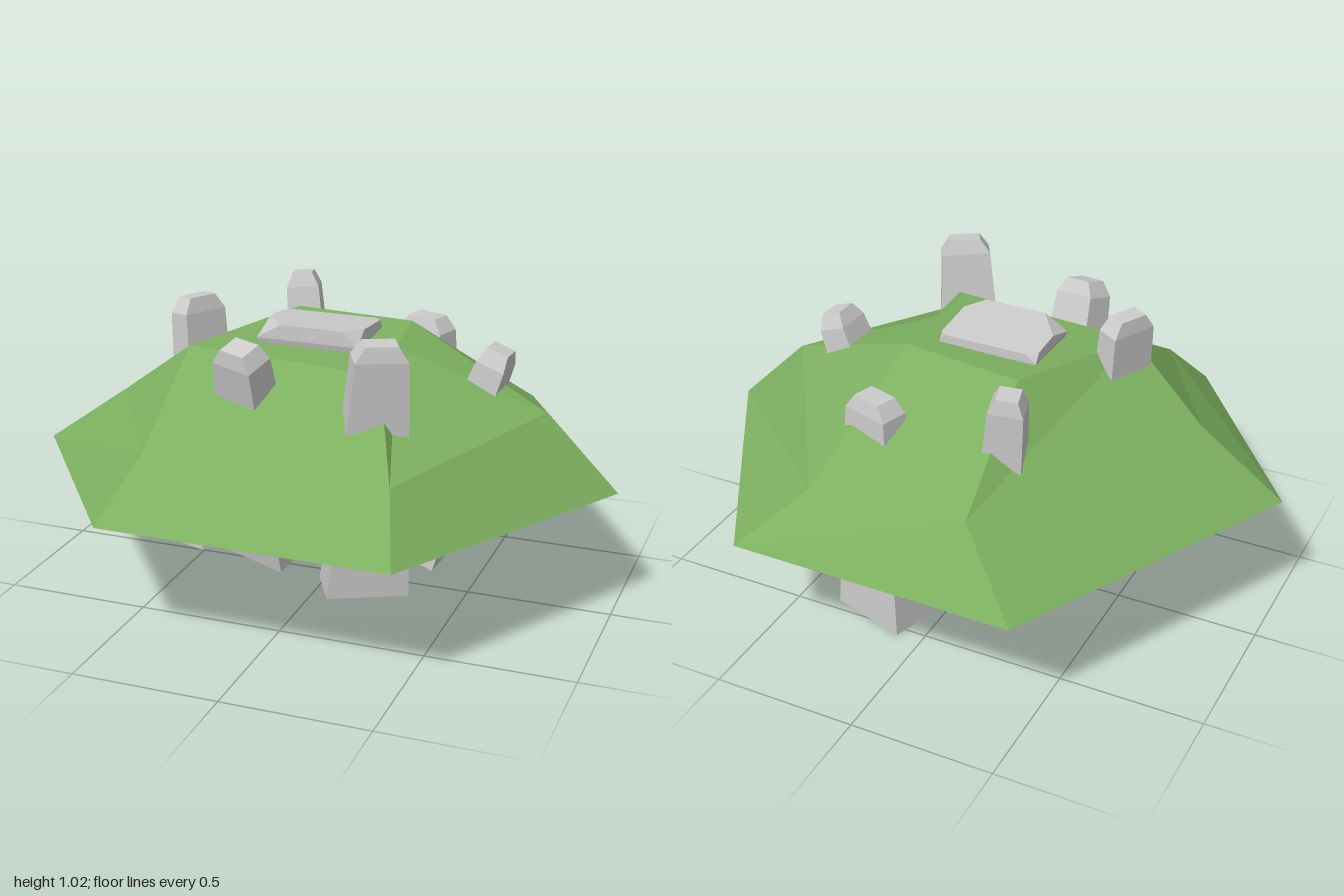
import * as THREE from 'three';
import { ConvexGeometry } from 'three/addons/geometries/ConvexGeometry.js';

const grass = new THREE.MeshStandardMaterial({ color: 0x7cb05f, flatShading: true });
const stone = new THREE.MeshStandardMaterial({ color: 0xcccccc, flatShading: true });

function addMesh(parent, name, geometry, material) {
  const mesh = new THREE.Mesh(geometry, material);
  mesh.name = name;
  parent.add(mesh);
  return mesh;
}

// Closed low-poly mound lofted through six-point rings, listed from bottom to top
function moundGeometry(rings) {
  const n = rings[0].length;
  const last = (rings.length - 1) * n;
  const index = [];
  for (let r = 0; r < rings.length - 1; r++) {
    for (let i = 0; i < n; i++) {
      const a = r * n + i;
      const b = r * n + ((i + 1) % n);
      index.push(a, a + n, b, b, a + n, b + n);
    }
  }
  for (let i = 1; i < n - 1; i++) {
    index.push(0, i, i + 1); // underside
    index.push(last, last + i + 1, last + i); // crown
  }
  const geometry = new THREE.BufferGeometry();
  geometry.setAttribute('position', new THREE.Float32BufferAttribute(rings.flat(2), 3));
  geometry.setIndex(index);
  geometry.computeVertexNormals();
  return geometry;
}

// Tapered four-sided stone with a bevelled tip, standing on its local origin
function pillarGeometry(length, bottom, top) {
  const geometry = new THREE.BoxGeometry(1, 1, 1, 1, 2, 1);
  const pos = geometry.attributes.position;
  const levels = [
    { y: 0, w: bottom[0], d: bottom[1] },
    { y: length - 0.05, w: top[0], d: top[1] },
    { y: length, w: top[0] * 0.62, d: top[1] * 0.75 },
  ];
  for (let i = 0; i < pos.count; i++) {
    const level = levels[Math.round((pos.getY(i) + 0.5) * 2)];
    pos.setXYZ(i, pos.getX(i) * level.w, level.y, pos.getZ(i) * level.d);
  }
  geometry.computeVertexNormals();
  return geometry;
}

// Foot and tip centres, turn in degrees, cross-section at foot and at shoulder
const pillars = [
  { name: 'backRightPillar', foot: [-0.18, 0.13, -0.34], tip: [-0.265, 0.97, -0.41], turn: 15, bottom: [0.18, 0.18], top: [0.115, 0.1] },
  { name: 'backLeftPillar', foot: [0.2, 0, -0.42], tip: [0.205, 0.85, -0.425], turn: -17, bottom: [0.285, 0.165], top: [0.175, 0.1] },
  { name: 'leftPillar', foot: [0.31, 0.13, -0.02], tip: [0.585, 0.885, -0.015], turn: 87, bottom: [0.2, 0.19], top: [0.13, 0.1] },
  { name: 'frontLeftPillar', foot: [0.255, 0.155, 0.39], tip: [0.325, 1.015, 0.45], turn: 30, bottom: [0.27, 0.14], top: [0.17, 0.09] },
  { name: 'frontRightPillar', foot: [-0.15, 0.155, 0.2], tip: [-0.145, 0.95, 0.455], turn: -17, bottom: [0.225, 0.18], top: [0.15, 0.11] },
  { name: 'rightPillar', foot: [-0.365, 0.15, 0.2], tip: [-0.425, 1.015, 0.155], turn: 63, bottom: [0.2, 0.12], top: [0.165, 0.08] },
];

export function createModel() {
  const model = new THREE.Group();
  model.name = 'grassyStoneMound';

  // Grass mound with a flat underside
  const baseY = 0.44;
  addMesh(model, 'grassMound', moundGeometry([
    [[-0.48, baseY, -0.85], [0.5, baseY, -0.85], [1, baseY, 0], [0.5, baseY, 0.85], [-0.48, baseY, 0.85], [-1, baseY, 0.17]],
    [[-0.25, 0.66, -0.68], [0.31, 0.615, -0.68], [0.75, 0.69, 0], [0.43, 0.63, 0.66], [-0.4, 0.63, 0.66], [-0.7, 0.655, 0.17]],
    [[-0.2, 0.9, -0.21], [0.23, 0.905, -0.16], [0.255, 0.885, 0.08], [0.28, 0.865, 0.32], [-0.41, 0.87, 0.26], [-0.41, 0.87, 0.26]],
  ]), grass);

  // Leaning stones that pass right through the mound
  const up = new THREE.Vector3(0, 1, 0);
  for (const p of pillars) {
    const foot = new THREE.Vector3(...p.foot);
    const axis = new THREE.Vector3(...p.tip).sub(foot);
    const pillar = addMesh(model, p.name, pillarGeometry(axis.length(), p.bottom, p.top), stone);
    const turn = new THREE.Quaternion().setFromAxisAngle(up, THREE.MathUtils.degToRad(p.turn));
    pillar.position.copy(foot);
    pillar.quaternion.setFromUnitVectors(up, axis.normalize()).multiply(turn);
  }

  // Flat slab on the crown, with its corners cut down to the edge
  const outline = [[-0.17, -0.085], [0.13, -0.085], [0.15, -0.06], [0.15, 0.1], [0.1, 0.17], [-0.12, 0.17], [-0.205, 0.05], [-0.205, -0.06]];
  const slab = outline.map(([x, z]) => new THREE.Vector3(x, 0.932 + z * 0.08, z));
  for (const x of [-0.205, 0.15]) {
    for (const z of [-0.085, 0.17]) {
      slab.push(new THREE.Vector3(x, 0.895, z), new THREE.Vector3(x * 0.9, 0.84, z * 0.9));
    }
  }
  addMesh(model, 'crownSlab', new ConvexGeometry(slab), stone);

  return model;
}
